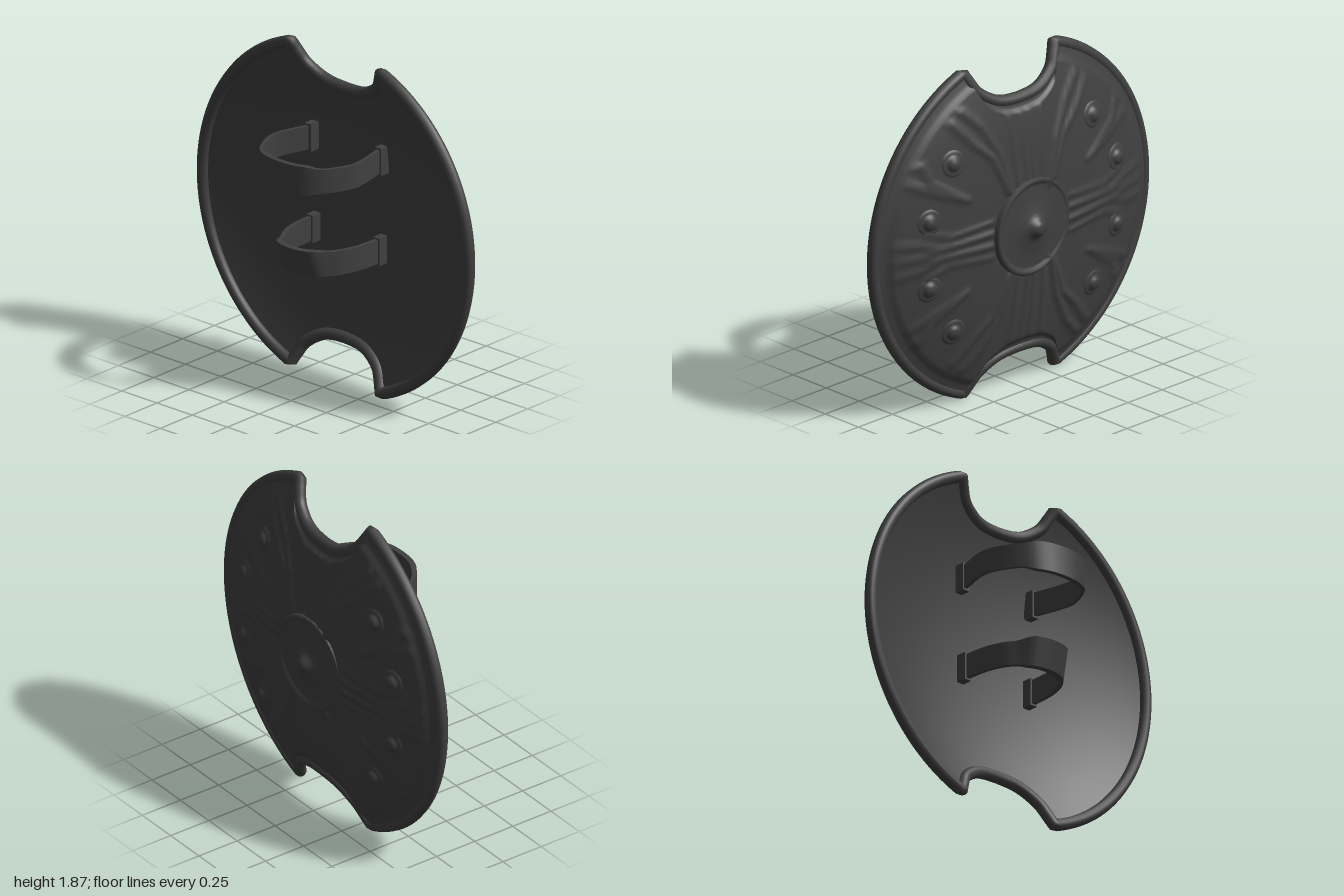
import * as THREE from 'three';
import { toCreasedNormals } from 'three/addons/utils/BufferGeometryUtils.js';

const CY = 0.945;      // height of the shield centre
const YAW = -0.025;    // slight turn of the shield about the vertical
const V2 = (p) => new THREE.Vector2(p[0], p[1]);

// Front surface of the dome at (a = z, b = height above centre)
const dome = (a, b) => {
  const q = a * a + b * b;
  return 0.285 - 0.125 * q - 0.04 * q * q + YAW * a;
};

// Ridges of the embossed leather, given for one quarter: [amplitude, width, points]
const RIDGES = [
  [0.012, 0.02, [[0.28, 0.035], [0.6, 0.025], [0.72, 0.07], [0.9, 0.09]]],
  [0.012, 0.018, [[0.6, 0.025], [0.75, 0.005], [0.9, 0.012]]],
  [0.009, 0.018, [[0.28, 0.1], [0.55, 0.08], [0.7, 0.13]]],
  [0.013, 0.018, [[0.43, 0.26], [0.65, 0.4], [0.69, 0.5], [0.79, 0.51]]],
  [0.013, 0.018, [[0.43, 0.26], [0.62, 0.34], [0.78, 0.42]]],
  [0.014, 0.02, [[0.14, 0.22], [0.2, 0.45], [0.3, 0.63], [0.41, 0.74]]],
  [0.014, 0.02, [[0.16, 0.24], [0.25, 0.45], [0.36, 0.55], [0.48, 0.69]]],
  [0.008, 0.02, [[0.02, 0.26], [0.03, 0.64]]],
  [0.008, 0.02, [[0.09, 0.26], [0.11, 0.64]]],
];

function segmentDistance(a, b, p, q) {
  const dx = q[0] - p[0], dy = q[1] - p[1];
  const t = THREE.MathUtils.clamp(((a - p[0]) * dx + (b - p[1]) * dy) / (dx * dx + dy * dy), 0, 1);
  return Math.hypot(a - p[0] - t * dx, b - p[1] - t * dy);
}

function relief(a, b) {
  a = Math.abs(a); b = Math.abs(b);
  let h = 0;
  for (const [amp, width, pts] of RIDGES) {
    let d = 1;
    for (let i = 1; i < pts.length; i++) d = Math.min(d, segmentDistance(a, b, pts[i - 1], pts[i]));
    h = Math.max(h, amp * Math.exp(-((d / width) ** 2)));
  }
  return h;
}

// Round outline with a notch at the top and the bottom, from one quarter
function outline() {
  const notch = new THREE.SplineCurve(
    [[0, 0.708], [0.1, 0.715], [0.18, 0.74], [0.26, 0.795], [0.3, 0.86], [0.325, 0.91]].map(V2));
  const quarter = notch.getPoints(24).map((p) => [p.x, p.y]);
  for (let i = 1; i <= 44; i++) {
    const t = 0.343 + (Math.PI / 2 - 0.343) * i / 44;
    quarter.push([0.967 * Math.sin(t), 0.967 * Math.cos(t)]);
  }
  const back = quarter.slice(0, -1).reverse();
  const half = [...quarter, ...back.map(([a, b]) => [a, -b])];
  return [...half, ...half.slice(1, -1).map(([a, b]) => [-a, -b])];
}

// Sheet of rings shrinking from the outline to the centre
function sheet(edge, rings, height, flip) {
  const n = edge.length, pos = [], index = [];
  for (let i = 0; i <= rings; i++) {
    const s = Math.max(i / rings, 0.001);
    for (const [ea, eb] of edge) pos.push(height(ea * s, eb * s, s), eb * s + CY, ea * s);
  }
  for (let i = 0; i < rings; i++) {
    for (let j = 0; j < n; j++) {
      const k = (j + 1) % n, p = i * n + j, q = p + n, r = (i + 1) * n + k, s = i * n + k;
      if (flip) index.push(p, r, q, p, s, r);
      else index.push(p, q, r, p, r, s);
    }
  }
  const g = new THREE.BufferGeometry();
  g.setAttribute('position', new THREE.Float32BufferAttribute(pos, 3));
  g.setIndex(index);
  g.computeVertexNormals();
  return g;
}

// Band swept along a path in plan, wider and leaning at its middle
function strap(path, y, half, extra, lean, lift, thick) {
  const curve = new THREE.SplineCurve(path.map(V2));
  const N = 48, pos = [], index = [];
  for (let i = 0; i <= N; i++) {
    const t = i / N, p = curve.getPointAt(t), d = curve.getTangentAt(t);
    const mid = 1 - THREE.MathUtils.smoothstep(Math.abs(t - 0.5), 0.1, 0.17);
    const h = half + extra * mid, w = thick * (1 + 0.5 * mid) / 2;
    for (const [u, v] of [[-1, -1], [1, -1], [1, 1], [-1, 1]]) {
      pos.push(p.x - d.y * u * w - lean * mid * (v + 1) / 2, y + lift * mid + v * h, p.y + d.x * u * w);
    }
  }
  for (let i = 0; i < N; i++) {
    for (let j = 0; j < 4; j++) {
      const p = i * 4 + j, s = i * 4 + (j + 1) % 4;
      index.push(p, s, p + 4, s, s + 4, p + 4);
    }
  }
  const g = new THREE.BufferGeometry();
  g.setAttribute('position', new THREE.Float32BufferAttribute(pos, 3));
  g.setIndex(index);
  return toCreasedNormals(g, 0.7);
}

export function createModel() {
  const model = new THREE.Group();
  const mat = new THREE.MeshStandardMaterial({ color: 0x404040 });
  const matBoth = new THREE.MeshStandardMaterial({ color: 0x404040, side: THREE.DoubleSide });
  const add = (name, geometry, material = mat) => {
    const mesh = new THREE.Mesh(geometry, material);
    mesh.name = name;
    model.add(mesh);
    return mesh;
  };

  // Embossed face and smooth hollow back
  const edge = outline();
  add('shieldFace', sheet(edge, 60, (a, b, s) =>
    dome(a, b) + relief(a, b) * (1 - THREE.MathUtils.smoothstep(s, 0.88, 0.96))
    - 0.012 * THREE.MathUtils.smoothstep(s, 0.92, 0.94)));
  add('shieldBack', sheet(edge, 24, (a, b) => dome(a, b) - 0.04, true));

  // Rolled rim along the outline
  const rimPath = new THREE.CatmullRomCurve3(
    edge.map(([a, b]) => new THREE.Vector3(dome(a, b) - 0.032, b + CY, a)), true);
  add('rim', new THREE.TubeGeometry(rimPath, 500, 0.033, 12, true));

  // Central boss: raised ring, shallow dish and knob
  const turned = (profile, sides) =>
    new THREE.LatheGeometry(profile.map(V2), sides).rotateZ(-Math.PI / 2);
  const boss = add('boss', turned([
    [0.275, 0.255], [0.272, 0.286], [0.262, 0.294], [0.248, 0.294], [0.238, 0.284], [0.225, 0.282],
    [0.17, 0.288], [0.11, 0.295], [0.085, 0.306], [0.065, 0.308], [0.055, 0.322], [0.042, 0.327],
    [0.034, 0.339], [0.018, 0.345], [0, 0.346]], 64), matBoth);
  boss.position.y = CY;
  boss.rotation.y = -YAW;

  // Eight studs, each in a low collar
  const stud = turned([[0.08, -0.008], [0.07, 0.004], [0.055, 0.005], [0.042, 0.005], [0.036, 0.016],
    [0.022, 0.024], [0, 0.027]], 24);
  for (const [a, b] of [[0.5, 0.48], [0.67, 0.19]]) {
    for (const sa of [1, -1]) {
      for (const sb of [1, -1]) {
        const m = add('stud', stud, matBoth);
        m.position.set(dome(a * sa, b * sb), b * sb + CY, a * sa);
        const slope = 0.25 + 0.16 * (a * a + b * b);
        m.quaternion.setFromUnitVectors(new THREE.Vector3(1, 0, 0),
          new THREE.Vector3(1, slope * b * sb, slope * a * sa - YAW).normalize());
      }
    }
  }

  // Arm strap and hand grip on the back
  add('armStrap', strap([[0.22, -0.235], [0.12, -0.265], [0, -0.3], [-0.1, -0.295], [-0.24, -0.22],
    [-0.31, -0.12], [-0.328, 0], [-0.31, 0.12], [-0.24, 0.22], [-0.1, 0.288], [0, 0.285],
    [0.12, 0.258], [0.22, 0.235]], 1.313, 0.067, 0.015, 0, 0, 0.02), matBoth);
  add('handGrip', strap([[0.22, -0.235], [0.12, -0.237], [0, -0.225], [-0.11, -0.18], [-0.185, -0.1],
    [-0.207, 0], [-0.185, 0.1], [-0.11, 0.18], [0, 0.222], [0.12, 0.235], [0.22, 0.235]],
  0.798, 0.068, 0.01, 0.04, 0.004, 0.024), matBoth);

  // Feet that fix the straps to the shield
  for (const [y, z] of [[1.313, 0.25], [0.798, 0.237]]) {
    for (const side of [1, -1]) {
      const foot = add('strapFoot', new THREE.BoxGeometry(0.06, 0.155, 0.045));
      foot.position.set(0.185, y, side * z);
    }
  }
  return model;
}
